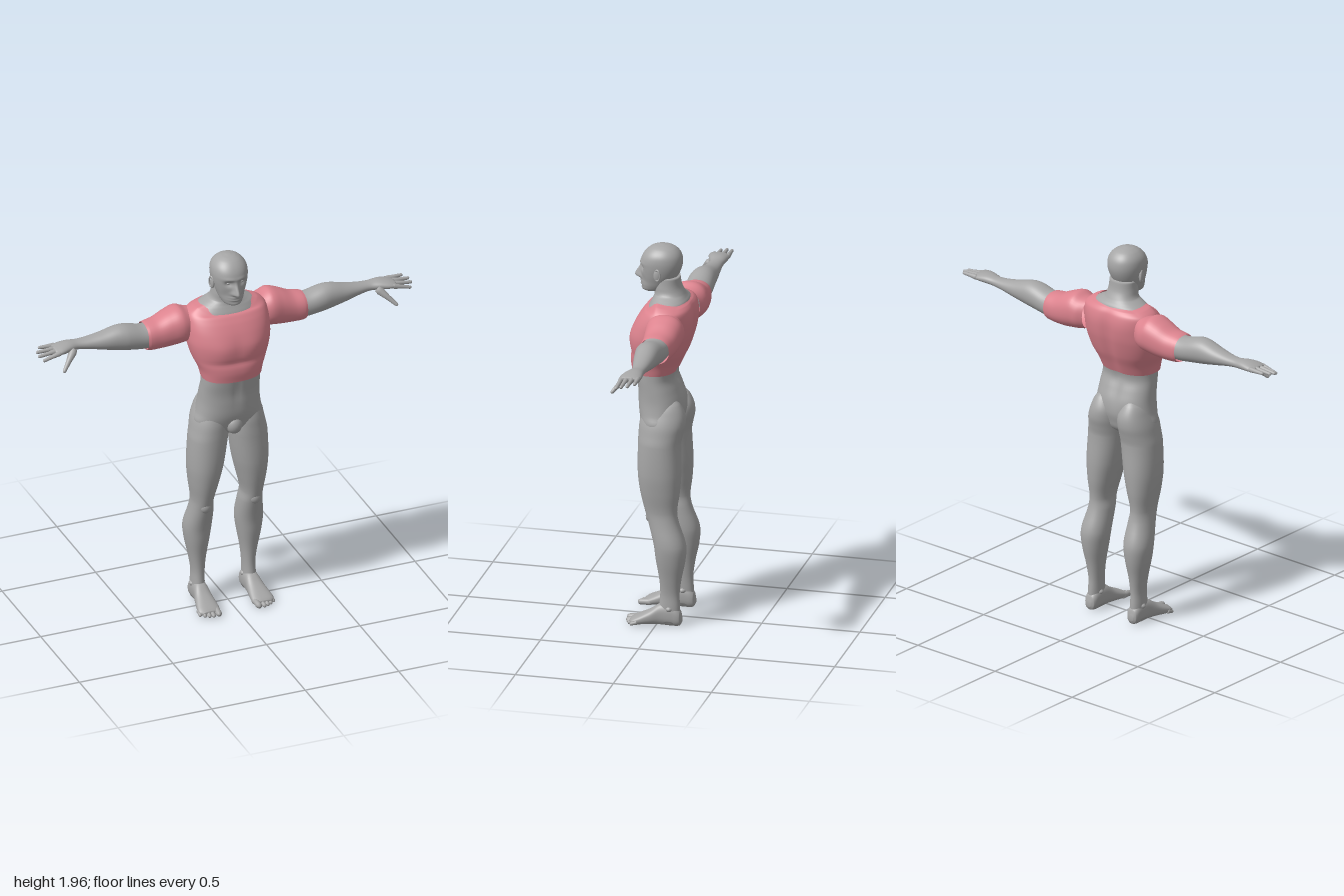
import * as THREE from 'three';

const skin = new THREE.MeshStandardMaterial({ color: 0xa6a6a6 });
skin.name = 'grey skin';
const cloth = new THREE.MeshStandardMaterial({ color: 0xdc838e, side: THREE.DoubleSide });
cloth.name = 'pink cloth';

const bell = (d, s) => Math.exp(-(d * d) / (2 * s * s));

// Smooth value of column c at position t along the rows
function sample(rows, c, t) {
  let i = 0;
  while (i < rows.length - 2 && t > rows[i + 1][0]) i++;
  const slope = (k) => {
    const p = rows[Math.max(k - 1, 0)], q = rows[Math.min(k + 1, rows.length - 1)];
    return (q[c] - p[c]) / (q[0] - p[0]);
  };
  const p = rows[i], q = rows[i + 1], h = q[0] - p[0], u = (t - p[0]) / h;
  const u2 = u * u, u3 = u2 * u;
  return (2 * u3 - 3 * u2 + 1) * p[c] + (u3 - 2 * u2 + u) * h * slope(i)
    + (3 * u2 - 2 * u3) * q[c] + (u3 - u2) * h * slope(i + 1);
}

// Loft of rounded sections. Rows: [t, aMin, aMax, bMin, bMax], axes in cyclic order.
function loft(axis, rows, { seg = 40, sub = 5, n = 2, cap = true, rule = null } = {}) {
  const pos = [], index = [], v = new THREE.Vector3(), A = (axis + 1) % 3, B = (axis + 2) % 3;
  const add = (t, a, b) => {
    v.setComponent(axis, t).setComponent(A, a).setComponent(B, b);
    if (rule) rule(v);
    pos.push(v.x, v.y, v.z);
  };
  const ts = [];
  for (let i = 0; i < rows.length - 1; i++)
    for (let k = 0; k < sub; k++) ts.push(rows[i][0] + (rows[i + 1][0] - rows[i][0]) * k / sub);
  ts.push(rows[rows.length - 1][0]);
  const power = (x) => Math.sign(x) * Math.abs(x) ** (2 / n);
  for (const t of ts) {
    const [a0, a1, b0, b1] = [1, 2, 3, 4].map((c) => sample(rows, c, t));
    for (let j = 0; j < seg; j++) {
      const th = j / seg * Math.PI * 2;
      add(t, (a0 + a1) / 2 + (a1 - a0) / 2 * power(Math.cos(th)), (b0 + b1) / 2 + (b1 - b0) / 2 * power(Math.sin(th)));
    }
  }
  for (let i = 0; i < ts.length - 1; i++)
    for (let j = 0; j < seg; j++) {
      const k = (j + 1) % seg, p = i * seg, q = p + seg;
      index.push(p + j, p + k, q + j, p + k, q + k, q + j);
    }
  if (cap) {
    const last = (ts.length - 1) * seg, m = pos.length / 3;
    for (const r of [rows[0], rows[rows.length - 1]]) add(r[0], (r[1] + r[2]) / 2, (r[3] + r[4]) / 2);
    for (let j = 0; j < seg; j++) {
      const k = (j + 1) % seg;
      index.push(m, k, j, m + 1, last + j, last + k);
    }
  }
  const g = new THREE.BufferGeometry();
  g.setAttribute('position', new THREE.Float32BufferAttribute(pos, 3));
  g.setIndex(index);
  g.computeVertexNormals();
  return g;
}

// Tapered round-ended digit from p to q
function digit(p, q, r0, r1) {
  const a = new THREE.Vector3(...p), d = new THREE.Vector3(...q).sub(a), len = d.length();
  const pts = [[0, 0], [r0 * 0.8, 0.001], [r0, len * 0.15], [(r0 + r1) / 2 * 0.93, len * 0.5], [r1, len - r1],
    [r1 * 0.75, len - r1 * 0.35], [0, len]].map(([x, y]) => new THREE.Vector2(x, y));
  const g = new THREE.LatheGeometry(pts, 14);
  g.applyQuaternion(new THREE.Quaternion().setFromUnitVectors(new THREE.Vector3(0, 1, 0), d.normalize()));
  return g.translate(a.x, a.y, a.z);
}

const ball = (x, y, z, rx, ry, rz) => new THREE.SphereGeometry(1, 24, 16).scale(rx, ry, rz).translate(x, y, z);

function mirrored(geo) {
  const g = geo.clone().scale(-1, 1, 1), ix = g.index.array;
  for (let i = 0; i < ix.length; i += 3) [ix[i], ix[i + 1]] = [ix[i + 1], ix[i]];
  g.computeVertexNormals();
  return g;
}

export function createModel() {
  const model = new THREE.Group();
  const add = (name, geo, mat = skin) => {
    const m = new THREE.Mesh(geo, mat);
    m.name = name;
    model.add(m);
  };
  const pair = (name, geo, mat) => {
    add('left ' + name, geo, mat);
    add('right ' + name, mirrored(geo), mat);
  };
  const sym = (rows) => rows.map(([y, zb, zf, w]) => [y, zb, zf, -w, w]);

  // Head with sculpted face
  add('head', loft(1, sym([
    [1.713, 0.03, 0.09, 0.025], [1.722, 0.0, 0.103, 0.045], [1.745, -0.03, 0.108, 0.06], [1.775, -0.055, 0.11, 0.071],
    [1.81, -0.078, 0.111, 0.082], [1.85, -0.093, 0.114, 0.09], [1.885, -0.095, 0.111, 0.091], [1.915, -0.086, 0.096, 0.083],
    [1.94, -0.064, 0.071, 0.062], [1.954, -0.035, 0.043, 0.036], [1.96, -0.006, 0.014, 0.01]]),
  { seg: 120, sub: 8, n: 2.15, rule: (v) => {
    if (v.z < 0.03) return;
    const x = Math.abs(v.x), y = v.y;
    v.z += 0.036 * bell(x, 0.009 + 0.004 * bell(y - 1.785, 0.012)) * bell(y - 1.788, y > 1.788 ? 0.03 : 0.009);
    v.z -= 0.014 * bell(x - 0.034, 0.014) * bell(y - 1.842, 0.011);
    v.z += 0.005 * bell(x - 0.03, 0.025) * bell(y - 1.866, 0.007);
    v.z += 0.008 * bell(x, 0.02) * (bell(y - 1.764, 0.0045) + bell(y - 1.75, 0.0045));
    v.z += 0.006 * bell(x, 0.02) * bell(y - 1.725, 0.01);
    v.z -= 0.005 * bell(x - 0.05, 0.014) * bell(y - 1.775, 0.02);
  } }));
  pair('eye', ball(0.034, 1.842, 0.088, 0.013, 0.008, 0.01));
  pair('ear', ball(0.088, 1.82, 0.012, 0.009, 0.032, 0.018).translate(0, 0, 0));
  pair('ear rim', new THREE.TorusGeometry(0.017, 0.004, 8, 24).scale(0.9, 1.6, 1).rotateY(1.25).translate(0.093, 1.823, 0.01));

  // Neck spreading into the shoulders
  add('neck', loft(1, sym([
    [1.6, -0.13, 0.08, 0.18], [1.65, -0.135, 0.067, 0.165], [1.68, -0.128, 0.052, 0.142], [1.695, -0.118, 0.045, 0.115],
    [1.712, -0.108, 0.042, 0.086], [1.75, -0.09, 0.044, 0.075], [1.8, -0.082, 0.04, 0.07]]), { n: 2.2 }));

  // Abdomen and pelvis
  add('abdomen', loft(1, sym([
    [0.98, -0.05, 0.06, 0.06], [1.01, -0.085, 0.085, 0.15], [1.05, -0.1, 0.1, 0.18], [1.1, -0.112, 0.113, 0.168],
    [1.16, -0.108, 0.118, 0.158], [1.22, -0.087, 0.12, 0.154], [1.28, -0.066, 0.128, 0.151], [1.36, -0.085, 0.14, 0.15]]),
  { n: 2.3, seg: 64, rule: (v) => {
    if (v.z > 0) v.z -= 0.006 * bell(v.x, 0.012) * bell(v.y - 1.25, 0.06);
    else v.z += 0.012 * bell(v.x, 0.02) * bell(v.y - 1.25, 0.08);
  } }));
  add('groin', ball(0, 1.035, 0.08, 0.042, 0.05, 0.04));

  // Legs
  pair('leg', loft(1, [
    [0.025, -0.12, 0.0, 0.102, 0.17], [0.1, -0.118, -0.012, 0.104, 0.17], [0.17, -0.115, -0.018, 0.103, 0.168],
    [0.25, -0.125, -0.013, 0.095, 0.18], [0.35, -0.145, 0.003, 0.078, 0.2], [0.43, -0.147, 0.014, 0.068, 0.207],
    [0.54, -0.11, 0.043, 0.071, 0.19], [0.6, -0.101, 0.06, 0.078, 0.185], [0.7, -0.113, 0.085, 0.055, 0.199],
    [0.8, -0.118, 0.099, 0.031, 0.208], [0.95, -0.114, 0.101, 0.008, 0.203], [1.0, -0.123, 0.1, 0.004, 0.194],
    [1.05, -0.134, 0.097, 0.003, 0.184], [1.1, -0.131, 0.085, 0.01, 0.167], [1.15, -0.108, 0.06, 0.035, 0.145],
    [1.18, -0.08, 0.02, 0.06, 0.115]], { n: 2.15 }));
  pair('kneecap', ball(0.132, 0.57, 0.032, 0.03, 0.035, 0.025));
  pair('ankle', ball(0.137, 0.095, -0.068, 0.042, 0.02, 0.024));

  // Feet and toes
  pair('foot', loft(2, [
    [-0.128, 0.125, 0.15, 0.025, 0.05], [-0.118, 0.107, 0.166, 0.008, 0.085], [-0.08, 0.1, 0.172, 0.004, 0.115],
    [-0.02, 0.098, 0.176, 0.006, 0.115], [0.03, 0.093, 0.187, 0.006, 0.083], [0.08, 0.088, 0.198, 0.004, 0.057],
    [0.115, 0.09, 0.198, 0.004, 0.04], [0.13, 0.1, 0.18, 0.01, 0.03]], { n: 2.4 }));
  for (let i = 0; i < 5; i++) {
    const r = i ? 0.011 - i * 0.0005 : 0.015, x = i ? 0.112 + i * 0.02 : 0.104;
    pair('toe ' + (i + 1), digit([x, 0.024, 0.085], [x + 0.004, r + 0.002, 0.16 - i * i * 0.0022], r + 0.003, r));
  }

  // Arms with palms
  pair('arm', loft(0, [
    [0.38, 1.49, 1.615, -0.13, 0.008], [0.44, 1.492, 1.616, -0.128, 0.009], [0.52, 1.503, 1.636, -0.125, 0.01],
    [0.57, 1.511, 1.637, -0.121, 0.003], [0.65, 1.528, 1.617, -0.114, -0.011], [0.72, 1.544, 1.604, -0.107, -0.026],
    [0.78, 1.553, 1.6, -0.103, -0.034], [0.83, 1.555, 1.604, -0.108, -0.018], [0.87, 1.556, 1.6, -0.11, -0.005],
    [0.9, 1.561, 1.592, -0.106, -0.004], [0.91, 1.568, 1.587, -0.095, -0.015]], { n: 2.1 }));

  // Fingers
  [[-0.097, 0.975, 1.58, -0.1], [-0.07, 0.998, 1.573, -0.068], [-0.043, 1.0, 1.566, -0.036], [-0.016, 0.985, 1.553, -0.008]]
    .forEach(([z, x, y, tip], i) => pair('finger ' + (i + 1), digit([0.88, 1.578, z], [x, y, tip], 0.0135, 0.0085)));
  pair('thumb', digit([0.81, 1.572, -0.03], [0.893, 1.493, 0.04], 0.021, 0.009));

  // Shirt body: chest and back modelling, dipped neckline with a front notch
  add('shirt body', loft(1, sym([
    [1.31, -0.075, 0.15, 0.153], [1.36, -0.098, 0.157, 0.165], [1.42, -0.126, 0.153, 0.191], [1.5, -0.15, 0.15, 0.212],
    [1.56, -0.159, 0.134, 0.215], [1.61, -0.161, 0.108, 0.213], [1.65, -0.154, 0.078, 0.203], [1.68, -0.141, 0.062, 0.168],
    [1.692, -0.127, 0.054, 0.135]]),
  { seg: 96, sub: 6, n: 2.35, cap: false, rule: (v) => {
    const x = Math.abs(v.x), y = v.y, s = THREE.MathUtils.smoothstep(y, 1.64, 1.692);
    if (v.z > 0) {
      v.z += 0.009 * bell(x - 0.08, 0.05) * bell(y - 1.49, 0.045) - 0.006 * bell(y - 1.415, 0.012) * bell(x, 0.12);
      v.y -= s * (0.03 * Math.min(1, v.z / 0.05) + (y > 1.689 ? 0.026 * Math.max(0, 1 - x / 0.025) : 0));
      if (y > 1.689) v.z += 0.018 * Math.max(0, 1 - x / 0.025);
    } else {
      v.z += 0.014 * bell(x, 0.022) * bell(y - 1.46, 0.12) - 0.004 * bell(x - 0.09, 0.04) * bell(y - 1.57, 0.05);
      v.y -= s * 0.012 * Math.min(1, -v.z / 0.1);
    }
  } }), cloth);

  // Sleeves
  pair('sleeve', loft(0, [
    [0.17, 1.5, 1.655, -0.14, 0.0], [0.205, 1.492, 1.662, -0.158, 0.022], [0.245, 1.486, 1.677, -0.163, 0.03],
    [0.3, 1.479, 1.66, -0.158, 0.023], [0.36, 1.477, 1.633, -0.148, 0.017], [0.41, 1.479, 1.624, -0.139, 0.016],
    [0.425, 1.484, 1.62, -0.135, 0.012]], { n: 2.25, cap: false }), cloth);

  return model;
}
